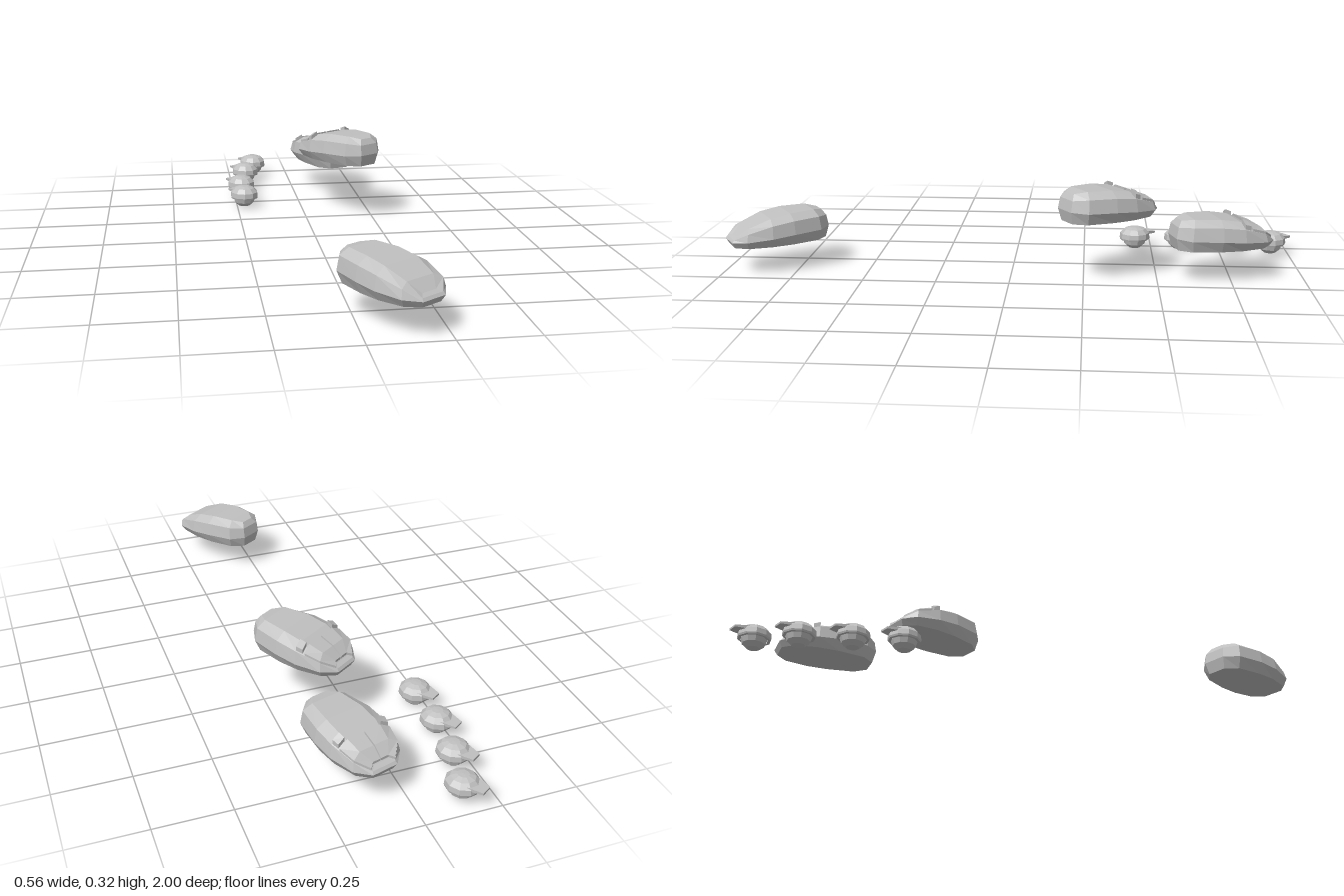
import * as THREE from 'three';

const stone = new THREE.MeshStandardMaterial({ color: 0xc0c0c0, flatShading: true });
stone.name = 'light grey';

// Shell stations from tail to nose: position, half width, height, height of widest line
const STATIONS = [
  [-0.172, 0.042, 0.1, 0.042],
  [-0.13, 0.086, 0.108, 0.04],
  [-0.03, 0.106, 0.106, 0.038],
  [0.05, 0.108, 0.095, 0.032],
  [0.135, 0.088, 0.066, 0.025],
  [0.175, 0.045, 0.036, 0.02],
];

// Half cross-section at a station, bottom to top
function halfSection([n, hw, h, m]) {
  return [
    [hw * 0.82, 0, n * 0.94],
    [hw, m, n],
    [hw * 0.93, h * 0.8, n * 0.96],
    [hw * 0.6, h, n * 0.88],
  ];
}

function shellGeometry() {
  const pos = [], index = [], last = (STATIONS.length - 1) * 8;
  for (const s of STATIONS) {
    const half = halfSection(s);
    for (const [x, y, z] of half) pos.push(x, y, z);
    for (const [x, y, z] of half.reverse()) pos.push(-x, y, z);
  }
  const quad = (a, b, c, d) => index.push(a, b, c, a, c, d);
  for (let i = 0; i < last; i += 8)
    for (let j = 0; j < 8; j++) {
      const k = (j + 1) % 8;
      quad(i + j, i + k, i + 8 + k, i + 8 + j);
    }
  // End caps, closed by rows across the shell
  for (let j = 0; j < 3; j++) {
    quad(last + j, last + j + 1, last + 6 - j, last + 7 - j);
    quad(7 - j, 6 - j, j + 1, j);
  }
  const g = new THREE.BufferGeometry();
  g.setAttribute('position', new THREE.Float32BufferAttribute(pos, 3));
  g.setIndex(index);
  const flat = g.toNonIndexed();
  flat.computeVertexNormals();
  return flat;
}

// Point on the upper shell at length n and width fraction f
function onShell(n, f, lift) {
  let i = 0;
  while (i < STATIONS.length - 2 && n > STATIONS[i + 1][0]) i++;
  const a = STATIONS[i], b = STATIONS[i + 1];
  const t = (n - a[0]) / (b[0] - a[0]);
  const [, hw, h] = a.map((v, k) => THREE.MathUtils.lerp(v, b[k], t));
  const k = Math.max(0, (f - 0.6) / 0.33);
  return [f * hw, h * (1 - 0.2 * k) + lift, n * (0.88 + 0.08 * k)];
}

// Box bent onto the shell; fs are width fractions, ns are lengths
function plateGeometry(fs, ns, lift, side) {
  const g = new THREE.BoxGeometry(1, 1, 1, fs.length - 1, 1, ns.length - 1);
  const p = g.attributes.position;
  for (let i = 0; i < p.count; i++) {
    const f = fs[Math.round((p.getX(i) + 0.5) * (fs.length - 1))];
    const n = ns[Math.round((p.getZ(i) + 0.5) * (ns.length - 1))];
    const [x, y, z] = onShell(n, f, p.getY(i) > 0 ? lift : -0.006);
    p.setXYZ(i, side * x, y, z);
  }
  // Mirroring turns the faces, so swap two corners of each
  if (side < 0) {
    const ix = g.index;
    for (let i = 0; i < ix.count; i += 3) {
      const t = ix.getX(i);
      ix.setX(i, ix.getX(i + 1));
      ix.setX(i + 1, t);
    }
  }
  g.computeVertexNormals();
  return g;
}

function add(parent, name, geometry) {
  const mesh = new THREE.Mesh(geometry, stone);
  mesh.name = name;
  parent.add(mesh);
  return mesh;
}

function largeShell(name, x, y, z, angle, plated) {
  const group = new THREE.Group();
  group.name = name;
  add(group, 'shell', shellGeometry());
  if (plated)
    for (const side of [1, -1]) {
      add(group, 'nosePlate', plateGeometry([0.03, 0.6, 0.92], [0.08, 0.135, 0.172], 0.008, side));
      add(group, 'noseKnob', plateGeometry([0.66, 0.9], [0.05, 0.073], 0.015, side));
    }
  group.position.set(x, y, z);
  group.rotation.y = angle;
  return group;
}

function smallCap(x, y, z, angle) {
  const group = new THREE.Group();
  group.name = 'smallCappedBall';
  const lathe = (pts) => new THREE.LatheGeometry(pts.map(([r, h]) => new THREE.Vector2(r, h)), 10);
  // Rounded bowl below
  add(group, 'bowl', lathe([[0, 0], [0.022, 0.005], [0.038, 0.019], [0.044, 0.038]]));
  // Domed cap with a lip
  const cap = add(group, 'cap', lathe([[0.042, 0.036], [0.051, 0.036], [0.053, 0.042], [0.051, 0.06], [0.037, 0.076], [0.018, 0.083], [0, 0.084]]));
  cap.scale.z = 1.08;
  // Tapered peak sloping down from the cap
  const g = new THREE.BoxGeometry(0.076, 0.014, 0.07);
  const p = g.attributes.position;
  for (let i = 0; i < p.count; i++)
    if (p.getZ(i) > 0) p.setXYZ(i, p.getX(i) * 0.5, p.getY(i) * 0.5 - 0.006, p.getZ(i));
  g.computeVertexNormals();
  add(group, 'peak', g).position.set(0, 0.063, 0.045);
  group.position.set(x, y, z);
  group.rotation.y = angle;
  return group;
}

export function createModel() {
  const model = new THREE.Group();
  model.name = 'scatteredShells';
  const a = 0.576;
  model.add(
    largeShell('upperShell', 0.137, 0.21, -0.328, Math.PI + a, true),
    largeShell('middleShell', 0.128, 0.114, -0.712, Math.PI + 0.28, true),
    largeShell('frontShell', 0.097, 0.095, 0.828, a, false),
  );
  // Row of small capped balls
  for (const [x, y, z] of [[-0.15, 0.01, -0.928], [-0.193, 0.01, -0.78], [-0.222, 0, -0.604], [-0.222, 0, -0.438]])
    model.add(smallCap(x, y, z, Math.PI + a));
  return model;
}
